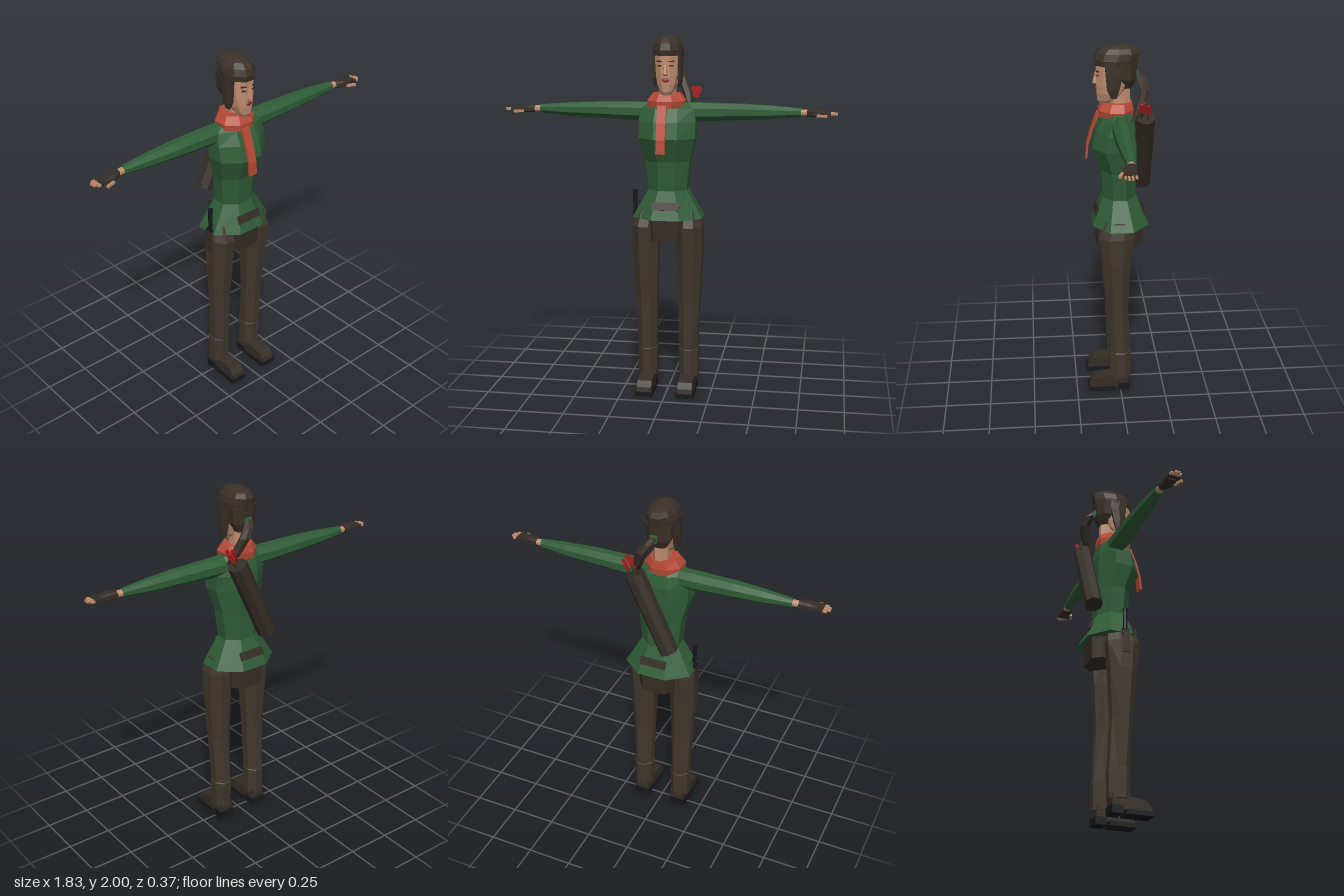
import * as THREE from 'three';

const paint = (name, color) => Object.assign(new THREE.MeshStandardMaterial({ color }), { name });
const M = {
  green: paint('tunic green', 0x2f5c36),
  trouser: paint('trouser brown', 0x40372d),
  leather: paint('dark leather', 0x352d26),
  hair: paint('hair brown', 0x3a3128),
  skin: paint('skin', 0xc08d70),
  scarf: paint('scarf red', 0xb54a36),
  red: paint('fletching red', 0xb01c1c),
  lips: paint('lip red', 0x9c2f2c),
  sole: paint('sole black', 0x17181c),
};

// Faceted normals
function flat(geo) {
  const g = geo.index ? geo.toNonIndexed() : geo;
  g.computeVertexNormals();
  return g;
}

// Stacked rings; each section is [y, half width, front z, back z, centre x]. p < 1 squares the ring.
function loft(sections, n = 8, p = 1) {
  const pos = [];
  const pw = v => Math.sign(v) * Math.pow(Math.abs(v), p);
  const k = pw(Math.cos(Math.PI / n));
  const rings = sections.map(([y, rx, zf, zb, cx = 0]) => Array.from({ length: n }, (_, j) => {
    const a = (j + 0.5) / n * Math.PI * 2;
    return [cx + rx * pw(Math.sin(a)) / k, y, (zf + zb) / 2 + (zf - zb) / 2 * pw(Math.cos(a)) / k];
  }));
  const mid = ([y, , zf, zb, cx = 0]) => [cx, y, (zf + zb) / 2];
  const last = rings.length - 1;
  for (let j = 0; j < n; j++) {
    const q = (j + 1) % n;
    for (let i = 0; i < last; i++) {
      const a = rings[i][j], b = rings[i][q], c = rings[i + 1][q], d = rings[i + 1][j];
      pos.push(...a, ...b, ...c, ...a, ...c, ...d);
    }
    pos.push(...mid(sections[0]), ...rings[0][q], ...rings[0][j]);
    pos.push(...mid(sections[last]), ...rings[last][j], ...rings[last][q]);
  }
  const g = new THREE.BufferGeometry();
  g.setAttribute('position', new THREE.Float32BufferAttribute(pos, 3));
  return flat(g);
}

// Side silhouette of [z, y] points, given a width and a centre x
function profile(pts, width, cx = 0) {
  const s = new THREE.Shape(pts.map(([z, y]) => new THREE.Vector2(z, y)));
  const g = new THREE.ExtrudeGeometry(s, { depth: width, bevelEnabled: false });
  return flat(g.rotateY(-Math.PI / 2).translate(cx + width / 2, 0, 0));
}

function box(w, h, d, x, y, z, rx = 0, ry = 0, rz = 0) {
  const g = new THREE.BoxGeometry(w, h, d).rotateX(rx).rotateY(ry).rotateZ(rz);
  return flat(g.translate(x, y, z));
}

// Mirror in x, restoring the corner order
function mirror(geo) {
  const g = geo.clone().scale(-1, 1, 1), a = g.attributes.position.array;
  for (let t = 0; t < a.length; t += 9) {
    for (let c = 0; c < 3; c++) [a[t + 3 + c], a[t + 6 + c]] = [a[t + 6 + c], a[t + 3 + c]];
  }
  g.computeVertexNormals();
  return g;
}

export function createModel() {
  const root = new THREE.Group();
  root.name = 'archer';
  const add = (name, geo, mat, parent = root) => {
    const m = new THREE.Mesh(geo, mat);
    m.name = name;
    parent.add(m);
    return m;
  };
  const pair = (name, geo, mat) => {
    add(name + 'Left', geo, mat);
    add(name + 'Right', mirror(geo), mat);
  };

  // Tunic
  add('torso', loft([
    [1.15, 0.105, 0.09, -0.088], [1.32, 0.122, 0.1, -0.088], [1.45, 0.155, 0.15, -0.09],
    [1.54, 0.157, 0.128, -0.09], [1.61, 0.145, 0.09, -0.075], [1.64, 0.1, 0.065, -0.06],
  ]), M.green);
  add('tunicSkirt', loft([[1.005, 0.193, 0.15, -0.16], [1.16, 0.108, 0.093, -0.092]]), M.green);
  add('frontBeltPatch', box(0.15, 0.045, 0.008, 0, 1.08, 0.125, -0.34), M.leather);
  add('backBeltPatch', box(0.15, 0.045, 0.008, 0, 1.08, -0.13, 0.41), M.leather);

  // Hips, trousers and shoes
  add('hips', loft([[0.88, 0.1, 0.125, -0.128], [1.04, 0.108, 0.13, -0.13]], 8, 0.5), M.leather);
  pair('leg', loft([
    [0.08, 0.052, 0.06, -0.056, 0.118], [0.24, 0.055, 0.064, -0.06, 0.117],
    [0.245, 0.051, 0.062, -0.056, 0.117], [0.53, 0.06, 0.075, -0.042, 0.12],
    [0.8, 0.072, 0.1, -0.055, 0.123], [0.96, 0.07, 0.12, -0.07, 0.125], [1.05, 0.05, 0.08, -0.06, 0.12],
  ]), M.trouser);
  pair('shoe', profile([
    [-0.045, 0.02], [0.178, 0.02], [0.172, 0.05], [0.145, 0.08], [0.07, 0.092], [-0.045, 0.1],
  ], 0.082, 0.115), M.leather);
  pair('sole', box(0.096, 0.024, 0.155, 0.116, 0.012, 0.107), M.sole);
  pair('heel', box(0.09, 0.042, 0.064, 0.116, 0.021, -0.019), M.sole);

  // Sleeves and hands, lofted along x
  const along = (s, n, p) => loft(s, n, p).rotateZ(-Math.PI / 2);
  pair('sleeve', along([
    [0.08, 0.05, 0.045, -0.052, -1.587], [0.18, 0.05, 0.045, -0.054, -1.588],
    [0.4, 0.043, 0.043, -0.05, -1.592], [0.56, 0.036, 0.034, -0.042, -1.592],
    [0.72, 0.022, 0.02, -0.026, -1.593],
  ]), M.green);
  pair('wrist', along([[0.7, 0.017, 0.016, -0.02, -1.593], [0.765, 0.016, 0.018, -0.018, -1.592]]), M.skin);
  pair('glove', along([
    [0.752, 0.019, 0.022, -0.021, -1.592], [0.79, 0.02, 0.042, -0.022, -1.592],
    [0.85, 0.012, 0.046, -0.018, -1.592],
  ], 8, 0.7), M.leather);
  [-0.011, 0.007, 0.025, 0.041].forEach((z, i) => {
    const tip = [0.9, 0.916, 0.914, 0.898][i];
    pair('gloveFinger' + i, box(0.035, 0.015, 0.014, 0.861, 1.592, z), M.leather);
    pair('finger' + i, box(tip - 0.87, 0.011, 0.011, (tip + 0.87) / 2, 1.591, z), M.skin);
  });
  pair('thumb', box(0.055, 0.013, 0.014, 0.832, 1.582, 0.056, 0, -0.35), M.skin);

  // Scarf with a hanging tail
  add('scarfCollar', loft([
    [1.615, 0.098, 0.108, -0.075, -0.01], [1.65, 0.103, 0.11, -0.078, -0.008],
    [1.69, 0.075, 0.086, -0.07, -0.008],
  ]), M.scarf);
  add('scarfTail', profile([
    [0.1, 1.63], [0.138, 1.54], [0.164, 1.45], [0.17, 1.375], [0.182, 1.375], [0.176, 1.45],
    [0.152, 1.54], [0.118, 1.63],
  ], 0.05, -0.02), M.scarf);

  // Head and face
  add('neck', loft([[1.64, 0.04, 0.055, -0.06], [1.8, 0.038, 0.06, -0.06]]), M.skin);
  add('head', loft([
    [1.685, 0.022, 0.105, 0.055], [1.705, 0.038, 0.115, 0.01], [1.745, 0.055, 0.118, -0.03],
    [1.79, 0.063, 0.12, -0.055], [1.85, 0.068, 0.12, -0.075], [1.93, 0.07, 0.122, -0.08],
  ], 10, 0.85), M.skin);
  add('nose', loft([
    [1.79, 0.01, 0.128, 0.1], [1.798, 0.013, 0.14, 0.1], [1.86, 0.006, 0.124, 0.1],
  ], 6), M.skin);
  add('lips', loft([
    [1.755, 0.012, 0.122, 0.1], [1.767, 0.023, 0.127, 0.1], [1.779, 0.014, 0.123, 0.1],
  ], 6), M.lips);
  pair('eye', box(0.024, 0.008, 0.006, 0.03, 1.843, 0.115, 0, 0.35), M.leather);
  pair('brow', box(0.032, 0.007, 0.007, 0.032, 1.866, 0.115, 0, 0.38, 0), M.hair);

  // Hair: crown, back, side locks and ponytail
  add('hairCrown', loft([
    [1.895, 0.077, 0.126, -0.095], [1.925, 0.081, 0.13, -0.1], [1.96, 0.073, 0.118, -0.106],
    [1.985, 0.055, 0.09, -0.09], [2.0, 0.03, 0.045, -0.035],
  ], 10), M.hair);
  add('hairBack', loft([
    [1.77, 0.04, -0.01, -0.068], [1.82, 0.068, 0.015, -0.09], [1.91, 0.076, 0.03, -0.096],
  ]), M.hair);
  pair('sideLock', loft([
    [1.725, 0.008, 0.045, 0.015, 0.066], [1.77, 0.013, 0.066, 0.002, 0.067],
    [1.86, 0.014, 0.074, -0.02, 0.068], [1.92, 0.012, 0.08, -0.02, 0.068],
  ], 6), M.hair);
  add('hairTie', box(0.04, 0.04, 0.018, 0.005, 1.838, -0.1, 0.3), M.green);
  add('ponytail', loft([
    [1.615, 0.01, -0.06, -0.085, 0.108], [1.68, 0.024, -0.085, -0.132, 0.092],
    [1.77, 0.028, -0.115, -0.163, 0.055], [1.82, 0.024, -0.095, -0.145, 0.02],
    [1.847, 0.016, -0.09, -0.118, 0.006],
  ], 6), M.hair);

  // Slanted quiver with arrows
  const quiver = new THREE.Group();
  quiver.name = 'quiver';
  quiver.position.set(0, 1.41, -0.134);
  quiver.rotation.z = -0.427;
  root.add(quiver);
  add('quiverBody', loft([[-0.24, 0.048, 0.048, -0.048], [0.24, 0.051, 0.05, -0.05]]), M.leather, quiver);
  [[-0.012, 0.012], [0.02, -0.012], [0.012, 0.022]].forEach(([x, z], i) => {
    add('arrowShaft' + i, box(0.006, 0.1, 0.006, x, 0.25, z), M.leather, quiver);
    for (const a of [0, Math.PI / 2]) {
      add('fletching' + i, box(0.022, 0.06, 0.005, x, 0.3 + i * 0.006, z, 0, a), M.red, quiver);
    }
  });

  // Dagger on the right hip
  add('daggerSheath', box(0.026, 0.13, 0.04, -0.188, 0.95, 0.02), M.leather);
  add('daggerGuard', box(0.026, 0.014, 0.045, -0.186, 1.02, 0.02), M.sole);
  add('daggerGrip', loft([
    [1.02, 0.01, 0.031, 0.009, -0.185], [1.13, 0.011, 0.032, 0.008, -0.185],
    [1.152, 0.013, 0.034, 0.006, -0.185],
  ], 6), M.sole);

  return root;
}
